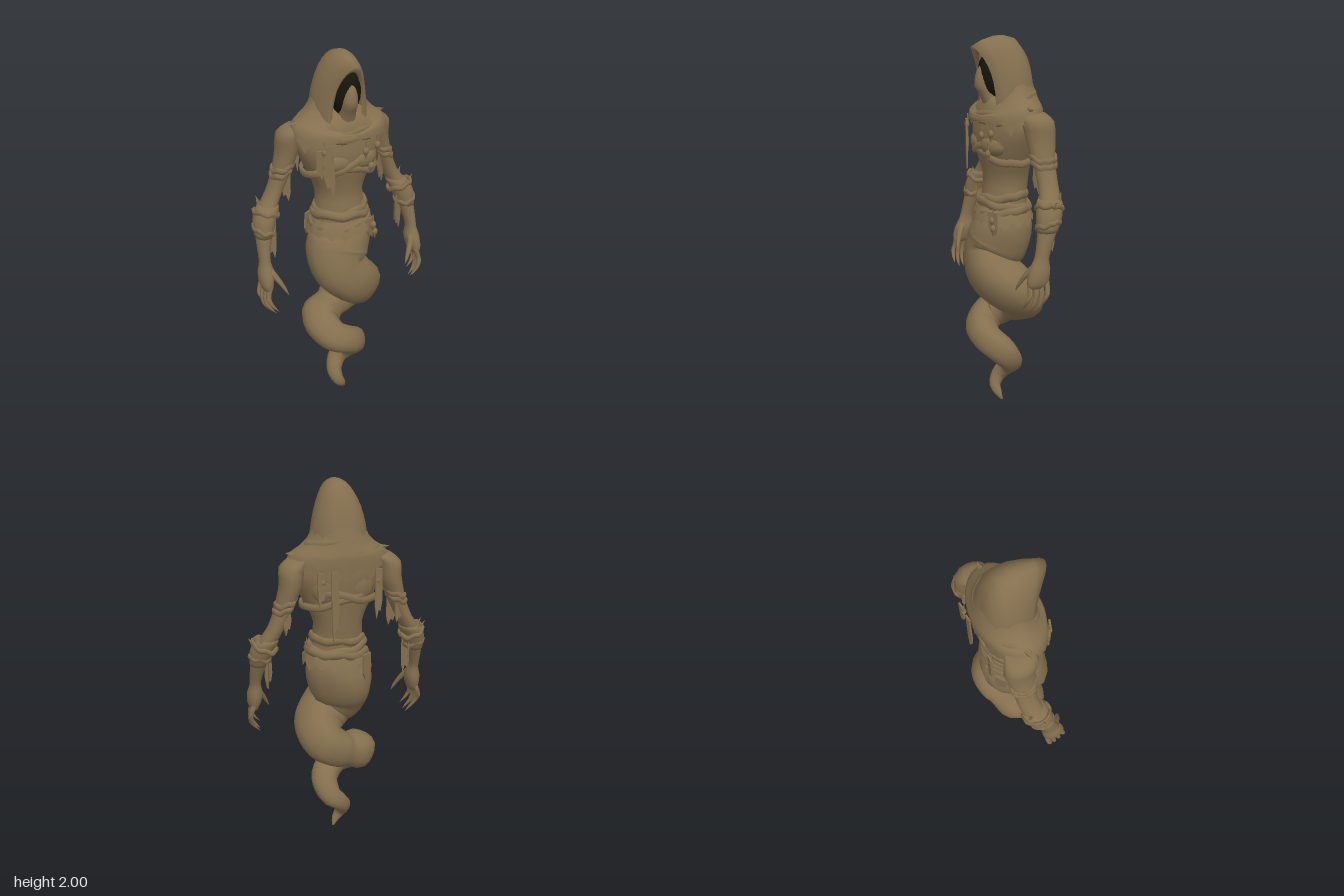
import * as THREE from 'three';

const V = (x, y, z) => new THREE.Vector3(x, y, z);
const TAU = Math.PI * 2;

// Skin a list of point rings; closed rings wrap round, caps close the two ends
function skin(rings, closed = true, caps = true) {
  const n = rings[0].length, pos = [], idx = [];
  rings.forEach(r => r.forEach(p => pos.push(p.x, p.y, p.z)));
  const last = (rings.length - 1) * n;
  for (let i = 0; i < rings.length - 1; i++) {
    for (let j = 0; j < (closed ? n : n - 1); j++) {
      const k = (j + 1) % n, a = i * n + j, b = i * n + k;
      idx.push(a, b, a + n, b, b + n, a + n);
    }
  }
  if (closed && caps) {
    for (const [ring, start, flip] of [[rings[0], 0, false], [rings.at(-1), last, true]]) {
      const c = ring.reduce((s, p) => s.add(p), V(0, 0, 0)).divideScalar(n), m = pos.length / 3;
      pos.push(c.x, c.y, c.z);
      for (let j = 0; j < n; j++) {
        const a = start + j, b = start + (j + 1) % n;
        flip ? idx.push(m, a, b) : idx.push(m, b, a);
      }
    }
  }
  const g = new THREE.BufferGeometry();
  g.setAttribute('position', new THREE.Float32BufferAttribute(pos, 3));
  g.setIndex(idx);
  g.computeVertexNormals();
  return g;
}

// Level elliptical sections, top to bottom: [y, cx, cz, rx, rz]
function loft(rows, { side = 1, sides = 14, steps = 2, caps = true, bend = null } = {}) {
  const mid = new THREE.CatmullRomCurve3(rows.map(r => V(r[1] * side, r[0], r[2])));
  const rad = new THREE.CatmullRomCurve3(rows.map(r => V(r[3], 0, r[4])));
  const count = (rows.length - 1) * steps, rings = [];
  for (let i = 0; i <= count; i++) {
    const c = mid.getPoint(i / count), r = rad.getPoint(i / count), ring = [];
    for (let j = 0; j < sides; j++) {
      const a = j / sides * TAU;
      const p = V(c.x + r.x * Math.cos(a), c.y, c.z + r.z * Math.sin(a));
      if (bend) bend(p, a, i / count, j);
      ring.push(p);
    }
    rings.push(ring);
  }
  return skin(rings, true, caps);
}

// Rolled cloth loop round a body part, tilted along x and z
function band(y, cx, cz, rx, rz, thick, tiltX = 0, tiltZ = 0, tall = 1) {
  const pts = [];
  for (let i = 0; i < 20; i++) {
    const a = -i / 20 * TAU, w = 1 + 0.02 * Math.sin(i * 2.3);
    const rise = (tiltX * Math.cos(a) + tiltZ * Math.sin(a) + 0.006 * Math.sin(i * 1.7)) / tall;
    pts.push(V(cx + rx * w * Math.cos(a), rise, cz + rz * w * Math.sin(a)));
  }
  const g = new THREE.TubeGeometry(new THREE.CatmullRomCurve3(pts, true), 40, thick, 6, true);
  return g.scale(1, tall, 1).translate(0, y, 0);
}

// Torn hanging strip with a ragged point
function rag(x, y, z, w, len, turn = 0, lean = 0) {
  const s = new THREE.Shape([[-w / 2, 0], [-w * 0.6, -len * 0.6], [-w * 0.35, -len * 0.85], [-w * 0.1, -len * 0.8],
    [w * 0.2, -len], [w * 0.45, -len * 0.75], [w / 2, 0]].map(p => new THREE.Vector2(...p)));
  return new THREE.ExtrudeGeometry(s, { depth: 0.009, bevelEnabled: false })
    .rotateZ(lean).rotateY(turn).translate(x, y, z);
}

export function createModel() {
  const cloth = new THREE.MeshStandardMaterial({ color: 0x85704f, side: THREE.DoubleSide });
  cloth.name = 'dusty brown';
  const dark = new THREE.MeshStandardMaterial({ color: 0x15150a, side: THREE.DoubleSide });
  dark.name = 'hood darkness';
  const root = new THREE.Group();
  const add = (name, geo, mat = cloth) => {
    const m = new THREE.Mesh(geo, mat);
    m.name = name;
    root.add(m);
  };

  // Spiral tail: [x, y, z, radius]
  const tail = [[0, 1.1, -0.005, 0.14], [0, 1.02, 0, 0.165], [-0.025, 0.94, 0.012, 0.173], [-0.035, 0.86, 0.045, 0.155],
    [0.03, 0.775, 0.062, 0.14], [0.1, 0.70, 0, 0.13], [0.09, 0.625, -0.08, 0.115], [0, 0.56, -0.08, 0.1],
    [-0.118, 0.505, -0.01, 0.1], [-0.09, 0.44, 0.08, 0.09], [-0.01, 0.395, 0.095, 0.08], [0.062, 0.325, 0.03, 0.077],
    [0.045, 0.245, -0.03, 0.064], [0, 0.2, -0.035, 0.052], [-0.038, 0.14, 0, 0.043], [-0.03, 0.085, 0.03, 0.034],
    [0, 0.04, 0.025, 0.022], [0.018, 0.005, 0.01, 0.006]];
  const path = new THREE.CatmullRomCurve3(tail.map(p => V(p[0], p[1], p[2])));
  const radii = new THREE.CatmullRomCurve3(tail.map(p => V(p[3], 0, 0)));
  const N = 72, frames = path.computeFrenetFrames(N), tailRings = [];
  for (let i = 0; i <= N; i++) {
    const c = path.getPointAt(i / N), r = radii.getPoint(path.getUtoTmapping(i / N)).x, ring = [];
    for (let j = 0; j < 18; j++) {
      const a = j / 18 * TAU, k = r * (1 + 0.04 * Math.cos(4 * a + i * 0.12));
      ring.push(c.clone().addScaledVector(frames.normals[i], k * Math.cos(a)).addScaledVector(frames.binormals[i], k * Math.sin(a)));
    }
    tailRings.push(ring);
  }
  add('spiralTail', skin(tailRings));

  // Lean torso with chest muscles
  add('torso', loft([[1.7, 0, -0.02, 0.12, 0.11], [1.64, 0, -0.02, 0.215, 0.14], [1.56, 0, -0.018, 0.24, 0.15],
    [1.48, 0, -0.012, 0.215, 0.148], [1.38, 0, -0.015, 0.168, 0.13], [1.28, 0, -0.02, 0.127, 0.115],
    [1.2, 0, -0.01, 0.13, 0.115], [1.08, 0, 0, 0.15, 0.125]], { sides: 24 }));
  for (const s of [1, -1]) {
    add('chestMuscle', new THREE.SphereGeometry(1, 14, 10).scale(0.085, 0.055, 0.045).rotateY(s * 0.35).translate(s * 0.085, 1.465, 0.092));
    add('shoulderBlade', new THREE.SphereGeometry(1, 12, 8).scale(0.08, 0.09, 0.04).rotateY(-s * 0.3).translate(s * 0.09, 1.5, -0.115));
  }

  // Crossed chest wraps
  add('chestWrap', band(1.45, 0, -0.012, 0.198, 0.148, 0.011, 0.05, 0, 1.9));
  add('chestWrap', band(1.43, 0, -0.012, 0.19, 0.146, 0.01, -0.05, 0, 1.9));

  // Waist sash and ragged hip cloth
  for (const [y, r, t] of [[1.19, 0.132, 0.01], [1.155, 0.143, -0.012], [1.115, 0.152, 0.012]])
    add('waistSash', band(y, 0, -0.003, r, r * 0.85, 0.018, t, -t, 1.4));
  add('hipCloth', loft([[1.14, 0, 0, 0.15, 0.128], [1.1, 0, 0, 0.168, 0.146], [1.055, 0, 0, 0.183, 0.158]], {
    sides: 28, caps: false,
    bend: (p, a, t, j) => { p.y += t * (j % 2 ? 0.025 : -0.01 - 0.012 * Math.sin(j)); }
  }));

  // Shoulder cowl flowing from the hood, open at the throat, with a jagged hem
  add('shoulderCowl', loft([[1.79, 0, -0.03, 0.127, 0.118], [1.73, 0, -0.025, 0.152, 0.14], [1.685, 0, -0.02, 0.195, 0.157],
    [1.645, 0, -0.018, 0.25, 0.168], [1.565, 0, -0.015, 0.262, 0.168]], {
    sides: 36, caps: false,
    bend: (p, a, t, j) => {
      const front = Math.max(0, Math.sin(a));
      p.y -= 0.14 * (1 - t) * front ** 1.5;
      if (t > 0.8) p.y += (t - 0.8) * 5 * (j % 3 ? 0.02 : -0.035);
    }
  }));
  add('neckFold', band(1.665, 0, -0.012, 0.165, 0.138, 0.017, 0.012, -0.055, 1.3));
  add('neckFold', band(1.63, 0, -0.012, 0.205, 0.152, 0.016, -0.012, -0.04, 1.3));
  for (const s of [1, -1])
    add('cowlPoint', new THREE.ConeGeometry(0.03, 0.09, 5).scale(1, 1, 1.6).rotateZ(-s * 1.45).translate(s * 0.225, 1.652, -0.03));

  // Hood made of arches from the pointed rim to the back: [apex y, apex z, foot z, half width, foot y]
  const arches = [[1.915, 0.125, 0.075, 0.082, 1.64], [1.95, 0.17, 0.085, 0.1, 1.63], [1.978, 0.115, 0.055, 0.122, 1.63],
    [1.997, 0.05, 0.015, 0.14, 1.63], [2.0, 0, -0.03, 0.147, 1.63], [1.985, -0.06, -0.075, 0.142, 1.63],
    [1.93, -0.107, -0.12, 0.115, 1.63], [1.82, -0.137, -0.15, 0.072, 1.63], [1.7, -0.15, -0.165, 0.008, 1.63]];
  add('hood', skin(arches.map(([top, zTop, zFoot, w, foot]) => {
    const arch = [];
    for (let j = 0; j <= 20; j++) {
      const a = (j / 10 - 1) * Math.PI / 2, h = Math.cos(a);
      arch.push(V(w * Math.sin(a), foot + (top - foot) * h, zFoot + (zTop - zFoot) * h ** 3));
    }
    return arch;
  }), false));

  // Dark hollow with a pale mask standing proud of it
  add('hoodShadow', new THREE.SphereGeometry(1, 20, 14).scale(0.076, 0.118, 0.075).rotateX(0.12).translate(0, 1.803, 0.055), dark);
  add('face', loft([[1.87, 0, 0.1, 0.012, 0.015], [1.83, -0.002, 0.105, 0.03, 0.035], [1.78, -0.003, 0.105, 0.04, 0.045],
    [1.73, -0.002, 0.09, 0.04, 0.045], [1.69, 0, 0.07, 0.045, 0.045], [1.64, 0, 0.05, 0.06, 0.05]]));

  // Arms, bandages and clawed hands, mirrored by side
  for (const side of [1, -1]) {
    add('arm', loft([[1.635, 0.21, -0.06, 0.055, 0.065], [1.595, 0.247, -0.07, 0.063, 0.085], [1.52, 0.255, -0.08, 0.058, 0.08],
      [1.45, 0.275, -0.08, 0.052, 0.068], [1.38, 0.3, -0.08, 0.046, 0.058], [1.3, 0.335, -0.08, 0.043, 0.053],
      [1.24, 0.37, -0.07, 0.048, 0.055], [1.18, 0.4, -0.05, 0.05, 0.058], [1.1, 0.42, -0.03, 0.043, 0.052],
      [1.0, 0.435, 0, 0.031, 0.04], [0.96, 0.437, 0.01, 0.029, 0.04], [0.91, 0.438, 0.02, 0.041, 0.056],
      [0.86, 0.443, 0.03, 0.037, 0.06], [0.82, 0.445, 0.037, 0.022, 0.05]], { side }));
    for (let i = 0; i < 4; i++) {
      const z = -0.012 + i * 0.029, drop = [0.03, 0, 0.005, 0.03][i], x = 0.455 - i * 0.005;
      add('finger', loft([[0.85, x - 0.005, z, 0.015, 0.014], [0.79, x + 0.014, z + 0.005, 0.014, 0.013],
        [0.735 + drop, x + 0.012, z + 0.015, 0.013, 0.012], [0.7 + drop, x - 0.008, z + 0.022, 0.009, 0.009],
        [0.67 + drop, x - 0.035, z + 0.025, 0.001, 0.001]], { side, sides: 7 }));
    }
    add('thumb', loft([[0.93, 0.425, 0.04, 0.018, 0.02], [0.885, 0.402, 0.068, 0.018, 0.018], [0.85, 0.382, 0.085, 0.014, 0.014],
      [0.815, 0.364, 0.098, 0.009, 0.01], [0.785, 0.35, 0.105, 0.001, 0.001]], { side, sides: 7 }));

    // Wrapped cuffs on upper arm and forearm
    for (const [y, x, z, r] of [[1.43, 0.283, -0.08, 0.051], [1.4, 0.293, -0.08, 0.048]])
      add('armBand', band(y, side * x, z, r, r * 1.22, 0.011, -side * 0.02, 0, 1.5));
    add('forearmCuff', loft([[1.24, 0.372, -0.068, 0.05, 0.058], [1.215, 0.387, -0.06, 0.062, 0.068], [1.17, 0.406, -0.047, 0.06, 0.067],
      [1.13, 0.415, -0.038, 0.054, 0.062], [1.09, 0.422, -0.028, 0.045, 0.054]], { side }));
    add('cuffFold', band(1.2, side * 0.392, -0.056, 0.06, 0.066, 0.01, side * 0.018, 0.012, 1.5));
    add('cuffFold', band(1.125, side * 0.416, -0.037, 0.05, 0.058, 0.01, side * 0.012, -0.01, 1.4));
    for (const [x, y, z, lean] of [[0.452, 1.215, -0.05, -0.6], [0.415, 1.25, -0.1, -0.3], [0.35, 1.215, -0.03, 0.5]])
      add('clothSpike', new THREE.ConeGeometry(0.018, 0.075, 4).rotateZ(side * lean).translate(side * x, y, z));

    // Rags hanging from the arms
    add('forearmRag', rag(side * 0.372, 1.15, -0.03, 0.04, 0.2, 0.4 * side));
    add('forearmRag', rag(side * 0.38, 1.14, -0.075, 0.035, 0.17, 1.2));
    add('upperArmRag', rag(side * 0.272, 1.42, -0.06, 0.045, 0.18, 0.5 * side));
    add('upperArmRag', rag(side * 0.29, 1.41, -0.13, 0.035, 0.13, 0.2));
  }

  // Rags on the chest, back and hips
  add('chestRag', rag(-0.135, 1.575, 0.135, 0.05, 0.26, -0.35, 0.06));
  add('chestRag', rag(-0.165, 1.55, 0.115, 0.035, 0.15, -0.5));
  for (const [x, len] of [[0.06, 0.36], [-0.16, 0.26], [0.13, 0.17]])
    add('backRag', rag(x, 1.59, -0.19, 0.035, len, x * 0.6));
  add('hipRag', rag(0.12, 1.13, 0.11, 0.05, 0.12, 0.5));
  add('hipRag', rag(-0.13, 1.12, -0.125, 0.06, 0.14, 0.6));

  // Small bone charms on cords
  for (const [x, y, z] of [[-0.15, 1.545, 0.13], [0.065, 1.52, 0.15], [0.14, 1.535, 0.135], [0.105, 1.43, 0.135],
    [0.13, 1.09, 0.125], [0.14, 1.05, 0.125], [-0.16, 1.53, -0.18], [0.12, 1.54, -0.18]]) {
    add('charm', new THREE.SphereGeometry(0.017, 8, 6).scale(1, 1.15, 0.8).translate(x, y, z));
    add('charmPoint', new THREE.ConeGeometry(0.011, 0.035, 5).rotateX(Math.PI).translate(x, y - 0.027, z));
    add('charmCord', new THREE.CylinderGeometry(0.004, 0.004, 0.05, 5).translate(x, y + 0.03, z - 0.004 * Math.sign(z)));
  }
  return root;
}
